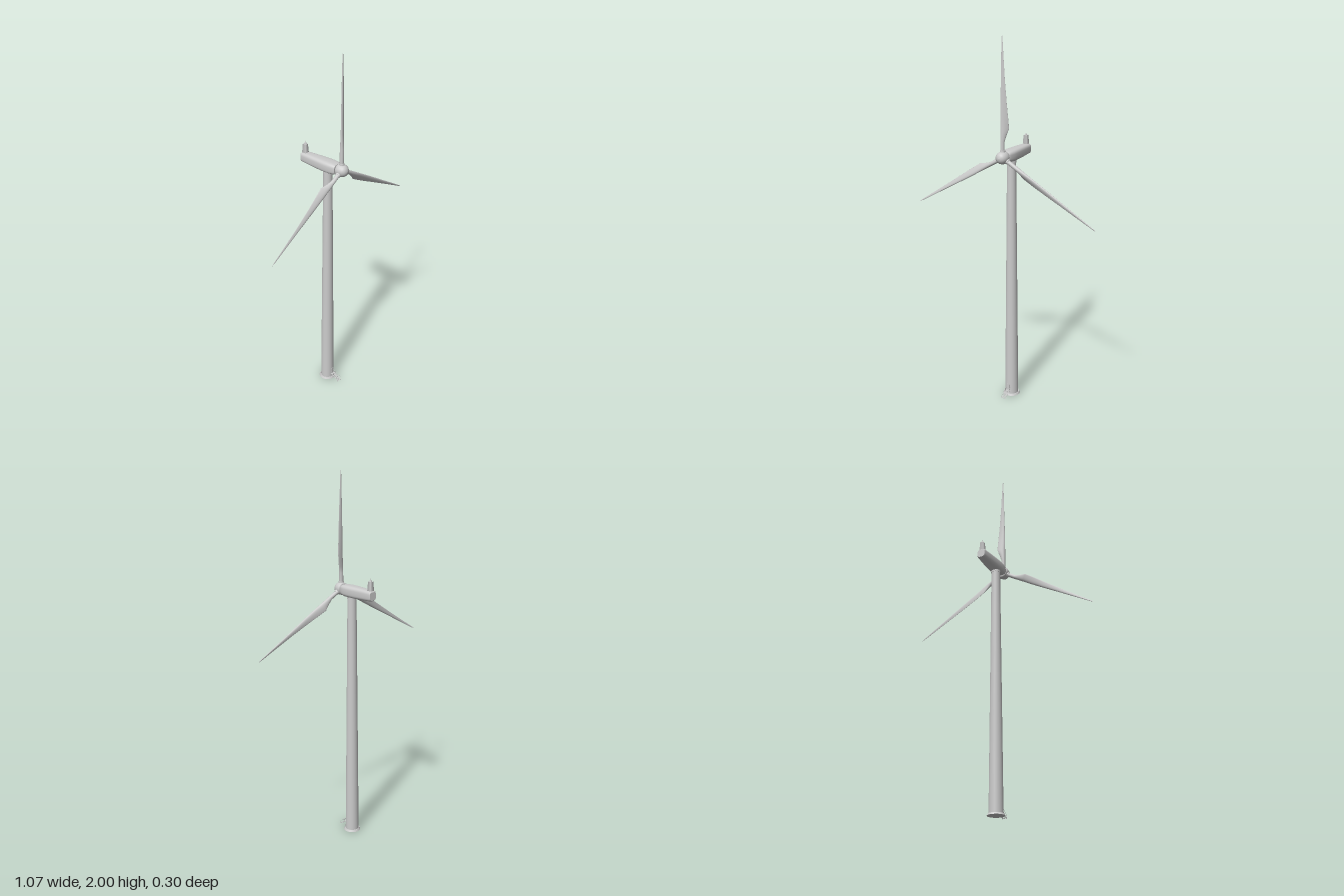
import * as THREE from 'three';

const grey = new THREE.MeshStandardMaterial({ color: 0xcccccc, side: THREE.DoubleSide });
const HUB_Y = 1.385, HUB_Z = 0.11, TOWER_Z = 0.02;

function add(parent, name, geometry, x = 0, y = 0, z = 0) {
  const mesh = new THREE.Mesh(geometry, grey);
  mesh.name = name;
  mesh.position.set(x, y, z);
  parent.add(mesh);
  return mesh;
}

// Skin closed rings of points (counter-clockwise seen from the far end), with flat end caps
function loft(rings) {
  const n = rings[0].length, pos = [], index = [];
  rings.forEach(ring => ring.forEach(p => pos.push(p.x, p.y, p.z)));
  for (let i = 0; i < rings.length - 1; i++) {
    for (let j = 0; j < n; j++) {
      const a = i * n + j, b = i * n + (j + 1) % n;
      index.push(a, b, b + n, a, b + n, a + n);
    }
  }
  [rings[0], rings[rings.length - 1]].forEach((ring, end) => {
    const base = pos.length / 3;
    ring.forEach(p => pos.push(p.x, p.y, p.z));
    for (let j = 1; j < n - 1; j++) {
      if (end) index.push(base, base + j, base + j + 1);
      else index.push(base, base + j + 1, base + j);
    }
  });
  const g = new THREE.BufferGeometry();
  g.setAttribute('position', new THREE.Float32BufferAttribute(pos, 3));
  g.setIndex(index);
  g.computeVertexNormals();
  return g;
}

// Twisted blade along +y, round at the root and an aerofoil further out
function bladeGeometry() {
  // radius, leading edge, trailing edge, half thickness, twist, aerofoil amount
  const stations = [
    [0.02, -0.011, 0.011, 0.011, 0.5, 0],
    [0.085, -0.011, 0.011, 0.011, 0.5, 0],
    [0.12, -0.011, 0.022, 0.010, 0.5, 0.5],
    [0.15, -0.011, 0.034, 0.008, 0.48, 0.8],
    [0.2, -0.011, 0.030, 0.006, 0.38, 0.8],
    [0.28, -0.010, 0.023, 0.005, 0.26, 0.8],
    [0.4, -0.007, 0.014, 0.0038, 0.15, 0.8],
    [0.52, -0.005, 0.007, 0.0025, 0.07, 0.8],
    [0.6, -0.003, 0.0025, 0.0015, 0.03, 0.8],
    [0.615, -0.001, 0.0005, 0.0005, 0, 0.8],
  ];
  return loft(stations.map(([r, lead, trail, thick, twist, foil]) => {
    const ring = [], s = Math.sin(twist), c = Math.cos(twist);
    for (let j = 0; j < 20; j++) {
      const t = j / 20 * Math.PI * 2, u = Math.cos(t);
      const along = (lead + trail) / 2 + u * (trail - lead) / 2;
      const across = Math.sin(t) * thick * (1 - foil * 0.7 * u);
      ring.push(new THREE.Vector3(along * c - across * s, r, -along * s - across * c));
    }
    return ring;
  }));
}

// Rounded-box body running along z
function nacelleGeometry() {
  // z, half width, bottom, top
  const stations = [
    [-0.148, 0.021, 1.364, 1.408],
    [-0.142, 0.025, 1.360, 1.413],
    [-0.09, 0.030, 1.357, 1.415],
    [-0.03, 0.035, 1.354, 1.416],
    [0.02, 0.038, 1.353, 1.416],
    [0.05, 0.037, 1.353, 1.415],
    [0.075, 0.033, 1.356, 1.413],
    [0.084, 0.029, 1.360, 1.409],
  ];
  const round = v => Math.sign(v) * Math.abs(v) ** 0.62;
  return loft(stations.map(([z, w, low, high]) => {
    const ring = [];
    for (let j = 0; j < 32; j++) {
      const t = j / 32 * Math.PI * 2;
      ring.push(new THREE.Vector3(round(Math.cos(t)) * w,
        (low + high) / 2 + round(Math.sin(t)) * (high - low) / 2, z));
    }
    return ring;
  }));
}

// Round bar between two points
function bar(parent, name, a, b, radius) {
  const from = new THREE.Vector3(...a), to = new THREE.Vector3(...b);
  return add(parent, name, new THREE.TubeGeometry(new THREE.LineCurve3(from, to), 1, radius, 6));
}

function createEntrance() {
  const entrance = new THREE.Group();
  entrance.name = 'entrance';
  add(entrance, 'door', new THREE.BoxGeometry(0.018, 0.036, 0.006), 0, 0.05, TOWER_Z + 0.035);
  add(entrance, 'landing', new THREE.BoxGeometry(0.024, 0.002, 0.02), 0, 0.03, 0.064);
  for (let i = 0; i < 6; i++) {
    add(entrance, 'step', new THREE.BoxGeometry(0.022, 0.0015, 0.006), 0, 0.026 - i * 0.0045, 0.077 + i * 0.006);
  }
  for (const x of [-0.012, 0.012]) {
    bar(entrance, 'stringer', [x, 0.03, 0.073], [x, 0.001, 0.111], 0.001);
    bar(entrance, 'handrail', [x, 0.046, 0.073], [x, 0.017, 0.109], 0.0008);
    bar(entrance, 'landingRail', [x, 0.046, 0.055], [x, 0.046, 0.073], 0.0008);
    bar(entrance, 'railPost', [x, 0.03, 0.073], [x, 0.046, 0.073], 0.0008);
    bar(entrance, 'railPost', [x, 0.001, 0.109], [x, 0.017, 0.109], 0.0008);
  }
  return entrance;
}

function createRotor() {
  const rotor = new THREE.Group();
  rotor.name = 'rotor';
  rotor.position.set(0, HUB_Y, HUB_Z);
  // Nose cone, open profile turned to face forwards
  const profile = [[0, -0.024], [0.027, -0.024], [0.032, -0.018], [0.034, -0.005], [0.033, 0.008],
    [0.029, 0.021], [0.021, 0.031], [0.011, 0.036], [0, 0.038]].map(p => new THREE.Vector2(...p));
  add(rotor, 'hub', new THREE.LatheGeometry(profile, 32).rotateX(Math.PI / 2));
  add(rotor, 'mainShaft', new THREE.CylinderGeometry(0.022, 0.022, 0.02, 24).rotateX(Math.PI / 2), 0, 0, -0.028);
  const blade = bladeGeometry();
  for (let i = 0; i < 3; i++) {
    const arm = new THREE.Group();
    arm.name = 'bladeArm';
    arm.rotation.z = i * Math.PI * 2 / 3;
    add(arm, 'bladeCollar', new THREE.CylinderGeometry(0.0135, 0.015, 0.014, 20), 0, 0.032, 0);
    add(arm, 'blade', blade);
    rotor.add(arm);
  }
  return rotor;
}

export function createModel() {
  const model = new THREE.Group();
  model.name = 'windTurbine';

  // Tower with foot flange and top bearing
  add(model, 'tower', new THREE.CylinderGeometry(0.024, 0.037, 1.35, 40), 0, 0.675, TOWER_Z);
  add(model, 'footFlange', new THREE.CylinderGeometry(0.041, 0.046, 0.01, 40), 0, 0.005, TOWER_Z);
  add(model, 'yawBearing', new THREE.CylinderGeometry(0.026, 0.026, 0.014, 40), 0, 1.351, TOWER_Z);
  model.add(createEntrance());

  // Nacelle with rear mast
  add(model, 'nacelle', nacelleGeometry());
  const mast = new THREE.CylinderGeometry(0.011, 0.0145, 0.05, 4, 1).rotateY(Math.PI / 4).scale(1.2, 1, 1.25);
  add(model, 'rearMast', mast, 0, 1.435, -0.13);
  add(model, 'mastCap', new THREE.CylinderGeometry(0.005, 0.007, 0.008, 12), 0, 1.463, -0.13);
  add(model, 'mastSensor', new THREE.CylinderGeometry(0.0012, 0.0012, 0.012, 6), 0, 1.471, -0.13);

  model.add(createRotor());
  return model;
}
